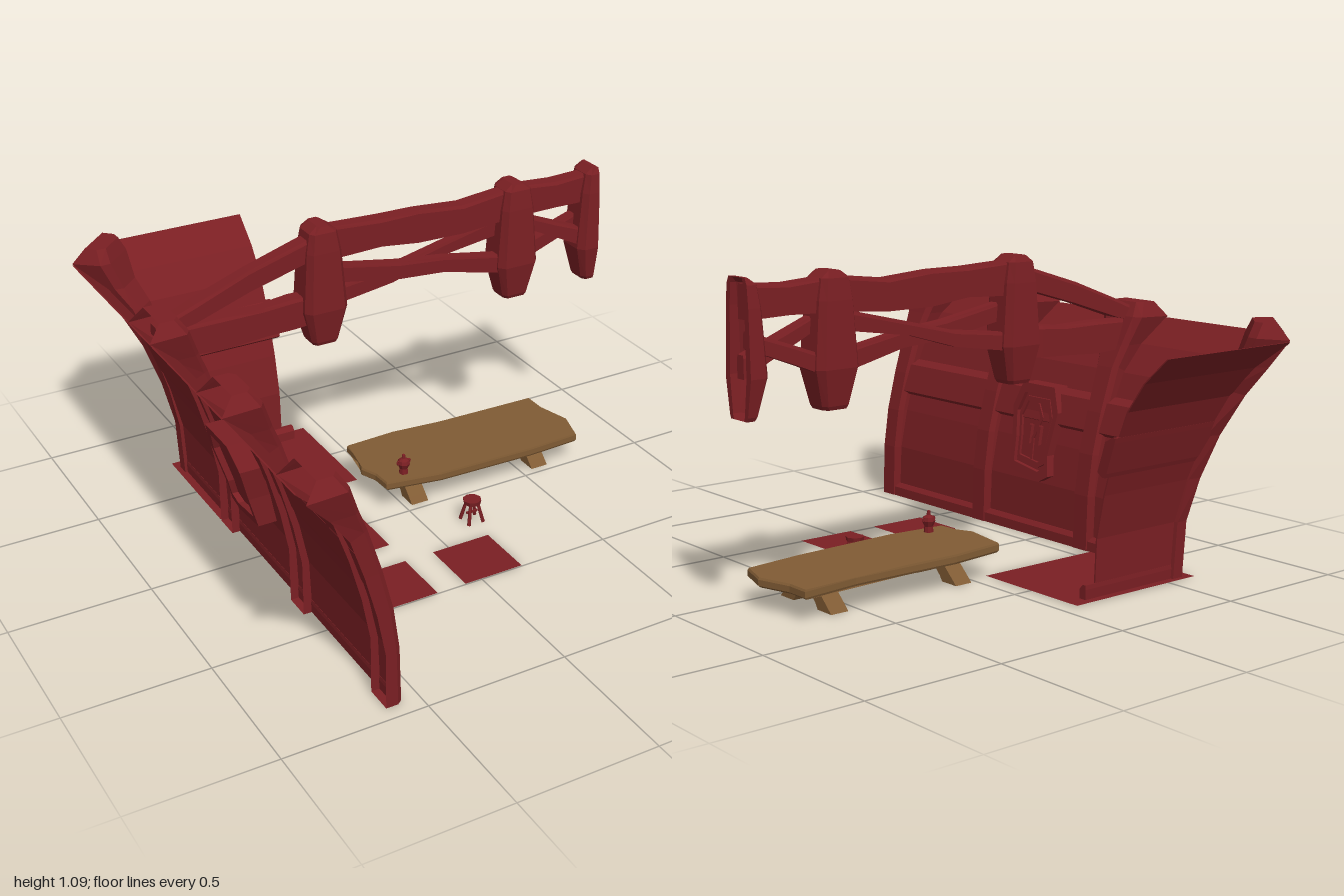
import * as THREE from 'three';

export function createModel() {
  const model = new THREE.Group();
  const red = new THREE.MeshStandardMaterial({ color: 0x7a1f23, flatShading: true, side: THREE.DoubleSide });
  red.name = 'red wood';
  const brown = new THREE.MeshStandardMaterial({ color: 0x805b34, flatShading: true, side: THREE.DoubleSide });
  brown.name = 'brown wood';

  const add = (name, geo, mat = red, parent = model) => {
    const m = new THREE.Mesh(geo, mat);
    m.name = name;
    parent.add(m);
    return m;
  };

  // Solid through a list of equal-length rings, facing outward; open leaves out the last side
  function loft(rings, open = false) {
    const n = rings[0].length, tris = [];
    for (let r = 0; r < rings.length - 1; r++) {
      for (let i = 0; i < (open ? n - 1 : n); i++) {
        const j = (i + 1) % n, A = rings[r], B = rings[r + 1];
        tris.push([A[i], A[j], B[j]], [A[i], B[j], B[i]]);
      }
    }
    const first = rings[0], last = rings[rings.length - 1];
    for (let i = 1; i < n - 1; i++) {
      tris.push([first[0], first[i + 1], first[i]], [last[0], last[i], last[i + 1]]);
    }
    const o = first[0], a = new THREE.Vector3(), b = new THREE.Vector3(), c = new THREE.Vector3();
    let volume = 0;
    const rel = (v, p) => v.set(p[0] - o[0], p[1] - o[1], p[2] - o[2]);
    for (const t of tris) volume += rel(a, t[0]).dot(rel(b, t[1]).cross(rel(c, t[2])));
    if (volume < 0) tris.forEach(t => t.reverse());
    const geo = new THREE.BufferGeometry();
    geo.setAttribute('position', new THREE.Float32BufferAttribute(tris.flat(2), 3));
    geo.computeVertexNormals();
    return geo;
  }

  // Wall frames: u is the leaning direction, t runs along the wall
  const sideWall = (u, y, t) => [u, y, t];
  const backWall = (u, y, t) => [t, y, u - 0.11];
  const corner = (u, y, w) => [u + w * Math.SQRT1_2, y, u - 0.11 - w * Math.SQRT1_2];

  // Curved wall section [u, y]
  const curve = [[-0.585, 0], [-0.592, 0.2], [-0.622, 0.35], [-0.665, 0.5], [-0.72, 0.64], [-0.79, 0.74], [-0.887, 0.83]];
  const uAt = y => {
    let i = 1;
    while (i < curve.length - 1 && curve[i][1] < y) i++;
    const [u0, y0] = curve[i - 1], [u1, y1] = curve[i];
    return u0 + (u1 - u0) * (y - y0) / (y1 - y0);
  };
  // Slab that follows the wall curve; rows are [y, outward, inward]
  const slab = (rows, place, end, miter) => loft(rows.map(([y, out, inn]) => {
    const u = uAt(y), m = miter(u);
    return [place(u - out, y, m), place(u + inn, y, m), place(u + inn, y, end), place(u - out, y, end)];
  }));
  const sheet = curve.map(p => [p[1], 0.003, 0.003]);
  const rail = [[0.415, 0.004, 0.01], [0.43, 0.006, 0.035], [0.535, 0.006, 0.035], [0.553, 0.004, 0.01]];
  const sill = [[0, 0.006, 0.022], [0.035, 0.006, 0.022], [0.05, 0.004, 0.008]];
  const walls = [
    ['side', sideWall, u => Math.max(u - 0.11, -0.86), [0.92, 0.9, 0.92]],
    ['back', backWall, u => Math.max(u, -0.75), [-0.175, -0.155, -0.13]],
  ];
  for (const [name, place, miter, ends] of walls) {
    [['Panel', sheet], ['Rail', rail], ['Sill', sill]].forEach(([part, rows], i) =>
      add(name + 'Wall' + part, slab(rows, place, ends[i], miter)));
  }

  // Flared pillars, hollow behind: [outer u, outer y, inner u, inner y, half width, outer half width]
  const pillarRows = [
    [-0.62, 0, -0.56, 0, 0.048], [-0.62, 0.2, -0.565, 0.2, 0.048], [-0.648, 0.35, -0.585, 0.35, 0.048],
    [-0.688, 0.5, -0.622, 0.5, 0.048], [-0.735, 0.64, -0.672, 0.66, 0.052], [-0.805, 0.74, -0.705, 0.74, 0.068],
    [-0.892, 0.835, -0.742, 0.84, 0.095], [-0.845, 0.89, -0.775, 0.89, 0.07],
  ];
  const cornerRows = [
    [-0.59, 0, -0.55, 0, 0.045, 0.015], [-0.597, 0.2, -0.557, 0.2, 0.045, 0.015], [-0.627, 0.35, -0.58, 0.35, 0.045, 0.015],
    [-0.67, 0.5, -0.615, 0.5, 0.048, 0.02], [-0.725, 0.64, -0.66, 0.66, 0.055, 0.04], [-0.775, 0.74, -0.7, 0.74, 0.07],
    [-0.82, 0.835, -0.725, 0.84, 0.098], [-0.79, 0.89, -0.74, 0.89, 0.075],
  ];
  const pillar = (rows, place) => loft(rows.map(([uo, yo, ui, yi, h, ho = h]) => {
    const um = ui - 0.018;
    return [place(uo, yo, -ho), place(um, yi, -h), place(ui, yi, -h * 0.7),
      place(ui, yi, h * 0.7), place(um, yi, h), place(uo, yo, ho)];
  }), true);
  for (const z of [0.902, 0.34, -0.225]) add('wallPillar', pillar(pillarRows, (u, y, t) => [u, y, z + t]));
  add('cornerPillar', pillar(cornerRows, corner));

  // Leaning window set through the side wall; outlines are [z, y]
  const outline = [[0.15, 0.56], [-0.02, 0.56], [-0.055, 0.47], [-0.03, 0.31], [-0.045, 0.235],
    [0, 0.21], [0.165, 0.235], [0.17, 0.35], [0.187, 0.47]];
  const shrink = k => outline.map(([z, y]) => new THREE.Vector2(-(0.065 + (z - 0.065) * k), 0.385 + (y - 0.385) * k));
  function windowPart(name, shape, back, front) {
    const g = new THREE.ExtrudeGeometry(shape, { depth: 1, bevelEnabled: false });
    g.rotateY(Math.PI / 2);
    const p = g.attributes.position;
    for (let i = 0; i < p.count; i++) {
      const rise = p.getY(i) - 0.21;
      p.setX(i, p.getX(i) > 0.5 ? front - rise * 0.17 : back - rise * 0.286);
    }
    g.computeVertexNormals();
    add(name, g);
  }
  const ring = (a, b) => {
    const s = new THREE.Shape(shrink(a));
    s.holes.push(new THREE.Path(shrink(b)));
    return s;
  };
  windowPart('windowFrame', ring(1, 0.8), -0.662, -0.56);
  windowPart('windowInnerFrame', ring(0.72, 0.62), -0.64, -0.567);
  windowPart('windowPane', new THREE.Shape(shrink(0.85)), -0.64, -0.577);
  const bar = (...pts) => new THREE.Shape(pts.map(([z, y]) => new THREE.Vector2(-z, y)));
  windowPart('windowSeam', bar([0.06, 0.49], [0.03, 0.44], [0.065, 0.36], [0.06, 0.28], [0.07, 0.28], [0.077, 0.36], [0.045, 0.44], [0.07, 0.49]), -0.6, -0.571);
  for (const z of [0.035, 0.085]) windowPart('windowHandle', bar([z - 0.008, 0.34], [z + 0.008, 0.34], [z + 0.008, 0.41], [z - 0.008, 0.41]), -0.6, -0.562);

  // Roof truss: faceted posts, the last one cut flat and hollow; rows are [y, half x, half z]
  const truss = new THREE.Group();
  truss.name = 'roofTruss';
  model.add(truss);
  const postRows = [[0.652, 0.045, 0.044], [0.665, 0.052, 0.05], [0.785, 0.082, 0.07], [1.0, 0.065, 0.062], [1.07, 0.052, 0.055], [1.092, 0.02, 0.045]];
  for (const x of [-0.227, 0.55, 0.895]) {
    add('trussPost', loft(postRows.map(([y, a, b]) =>
      [[a, b * 0.65], [a * 0.75, b], [-a * 0.75, b], [-a, b * 0.65], [-a, -b * 0.65], [-a * 0.75, -b], [a * 0.75, -b], [a, -b * 0.65]]
        .map(([dx, dz]) => [Math.min(x + dx, 0.89), y, -0.225 + dz])), x > 0.8), red, truss);
  }
  // Hewn beams through [x, top y, bottom y]
  const beam = (name, pts, z = -0.225, h = 0.032) => add(name, loft(pts.map(([x, t, b], i) => {
    const w = i % 2 ? h : h * 0.82;
    return [[x, t, z - w * 0.8], [x, t, z + w * 0.8], [x, t - 0.012, z + w], [x, b, z + w], [x, b, z - w], [x, t - 0.012, z - w]];
  })), red, truss);
  beam('topBeam', [[-0.2, 1.075, 0.955], [0.0, 1.065, 0.965], [0.15, 1.065, 0.945], [0.33, 1.05, 0.945], [0.55, 1.075, 0.96], [0.72, 1.062, 0.965], [0.87, 1.07, 0.96]]);
  beam('slantedBeam', [[-0.84, 0.85, 0.81], [-0.7, 0.905, 0.84], [-0.5, 0.98, 0.905], [-0.2, 1.07, 0.99]]);
  beam('lowerBeam', [[-0.76, 0.83, 0.725], [-0.6, 0.833, 0.718], [-0.45, 0.83, 0.725], [-0.34, 0.84, 0.73], [-0.22, 0.84, 0.735]]);
  beam('risingBrace', [[-0.2, 0.83, 0.765], [0.06, 0.86, 0.805], [0.25, 0.905, 0.86], [0.55, 0.975, 0.905]], -0.243, 0.022);
  beam('fallingBrace', [[-0.2, 0.94, 0.875], [0.07, 0.892, 0.83], [0.25, 0.873, 0.815], [0.55, 0.82, 0.745]], -0.207, 0.022);
  beam('risingBrace', [[0.58, 0.825, 0.76], [0.72, 0.875, 0.815], [0.87, 0.925, 0.87]], -0.243, 0.022);
  beam('fallingBrace', [[0.58, 0.965, 0.915], [0.72, 0.908, 0.85], [0.87, 0.85, 0.775]], -0.207, 0.022);

  // Table with an uneven plank top and crossed legs
  const table = new THREE.Group();
  table.name = 'table';
  model.add(table);
  const top = [[-0.08, -0.33], [0.12, -0.345], [0.52, -0.32], [0.73, -0.335], [0.73, -0.25], [0.765, -0.125],
    [0.73, -0.01], [0.52, 0.005], [0.13, 0.005], [-0.08, -0.025], [-0.085, -0.1], [-0.11, -0.16], [-0.08, -0.24]];
  add('tableTop', loft([[0.091, 0.98], [0.098, 1], [0.118, 1], [0.125, 0.99]].map(([y, k]) =>
    top.map(([x, z]) => [0.33 + (x - 0.33) * k, y - 0.02 * x, -0.168 + (z + 0.168) * k]))), brown, table);
  for (const x of [0.06, 0.578]) {
    for (const s of [-1, 1]) {
      add('tableLeg', loft([[0, 0.105, 0.037], [0.02, 0.088, 0.033], [0.092, 0.012, 0.03]].map(([y, dz, w]) =>
        [[-0.034, -w], [0.034, -w], [0.034, w], [-0.034, w]].map(([dx, d]) => [x + dx, y, -0.168 + s * dz + d]))), brown, table);
    }
    const d = x < 0.3 ? 1 : -1;
    add('tableKneeBrace', loft([[0.03, 0.045, 0.07], [0.085, 0.08, 0.093]].map(([dx, a, b]) =>
      [[a, -0.19], [b, -0.19], [b, -0.146], [a, -0.146]].map(([y, z]) => [x + d * dx, y, z]))), brown, table);
  }
  add('tableStretcher', new THREE.BoxGeometry(0.56, 0.024, 0.04).translate(0.32, 0.078, -0.168), brown, table);

  // Small stool
  const stool = new THREE.Group();
  stool.name = 'stool';
  stool.position.set(0.163, 0, 0.165);
  model.add(stool);
  add('stoolSeat', new THREE.CylinderGeometry(0.034, 0.031, 0.016, 8).translate(0, 0.08, 0), red, stool);
  for (let i = 0; i < 4; i++) {
    const leg = add('stoolLeg', new THREE.CylinderGeometry(0.006, 0.007, 0.084, 5), red, stool);
    const a = Math.PI / 4 + i * Math.PI / 2;
    leg.position.set(Math.cos(a) * 0.03, 0.04, Math.sin(a) * 0.03);
    leg.rotation.set(Math.sin(a) * -0.28, 0, Math.cos(a) * 0.28);
  }
  add('stoolRung', new THREE.BoxGeometry(0.045, 0.007, 0.007).translate(0, 0.035, 0), red, stool);

  // Lidded jug on the table
  const jug = new THREE.Group();
  jug.name = 'jug';
  jug.position.set(0.01, 0.12, -0.06);
  model.add(jug);
  const profile = [[0, 0], [0.018, 0], [0.015, 0.025], [0.024, 0.045], [0.02, 0.058], [0.007, 0.066], [0.006, 0.08], [0, 0.083]];
  add('jugBody', new THREE.LatheGeometry(profile.map(p => new THREE.Vector2(...p)), 8), red, jug);
  for (const s of [-1, 1]) add('jugHandle', new THREE.TorusGeometry(0.007, 0.003, 5, 8).translate(s * 0.02, 0.05, 0), red, jug);

  // Thin floor tiles, one with a rounded corner
  const tile = (name, pts) => {
    const g = new THREE.ShapeGeometry(new THREE.Shape(pts.map(([x, z]) => new THREE.Vector2(x, -z))));
    add(name, g.rotateX(-Math.PI / 2).translate(0, 0.001, 0));
  };
  const rect = (x0, x1, z0, z1) => [[x0, z1], [x1, z1], [x1, z0], [x0, z0]];
  tile('largeFloor', rect(-0.62, -0.065, -0.73, -0.28));
  tile('floorTile', rect(-0.4, -0.175, 0.28, 0.5));
  tile('floorTile', rect(-0.065, 0.16, 0.28, 0.5));
  tile('roundedFloorTile', [[-0.4, 0.165], [-0.175, 0.165], [-0.175, -0.057], [-0.27, -0.045], [-0.315, -0.025], [-0.365, 0.05], [-0.392, 0.11]]);

  return model;
}
